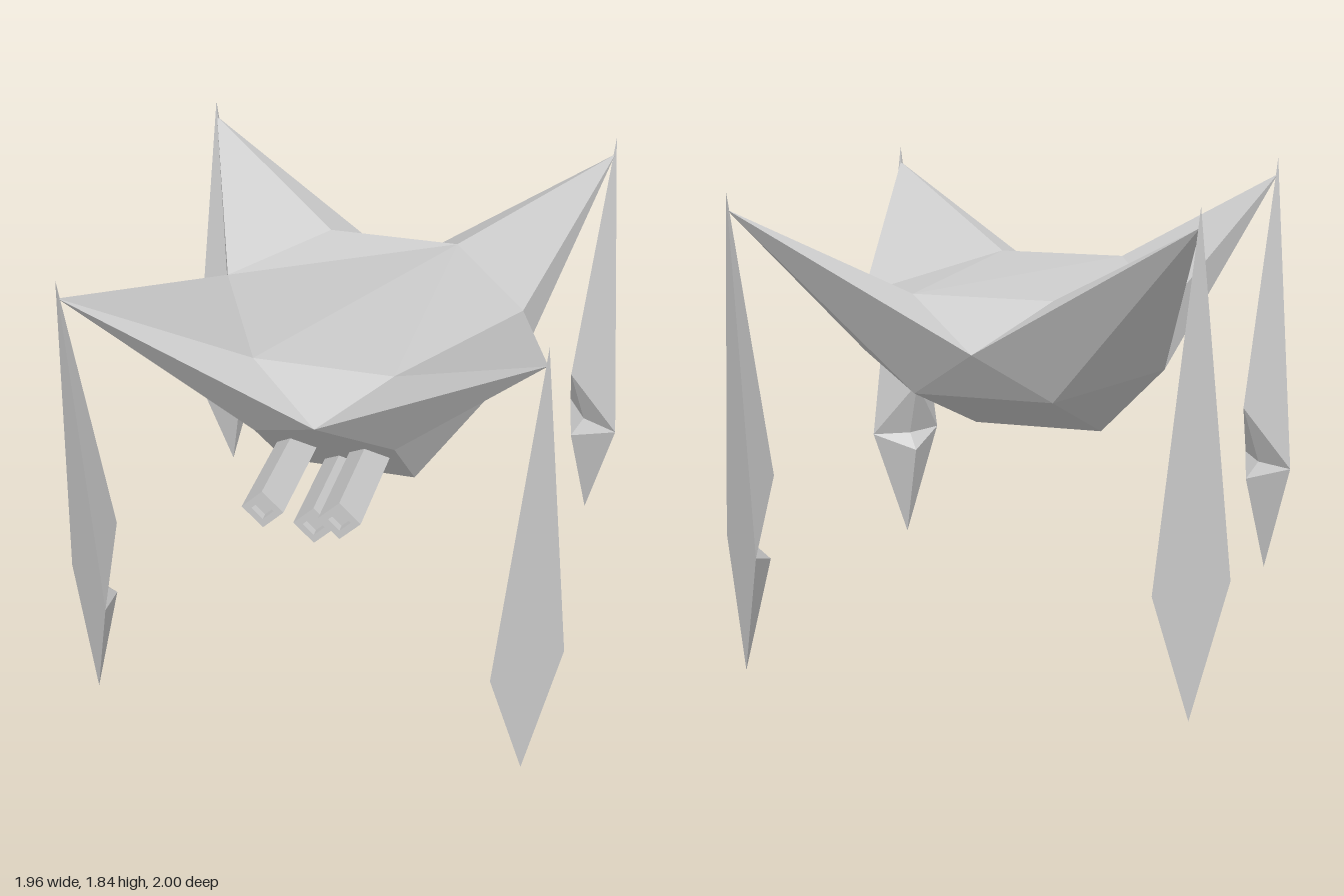
import * as THREE from 'three';

const material = new THREE.MeshStandardMaterial({ color: 0xcccccc, flatShading: true });

// Faceted solid from named points and triangles, every face turned away from an inner point
function facetedMesh(name, points, triangles, inner) {
  const centre = new THREE.Vector3(...inner);
  const positions = [];
  for (const tri of triangles) {
    let [a, b, c] = tri.map((key) => new THREE.Vector3(...points[key]));
    const normal = b.clone().sub(a).cross(c.clone().sub(a));
    if (normal.dot(a.clone().sub(centre)) < 0) [b, c] = [c, b];
    for (const v of [a, b, c]) positions.push(v.x, v.y, v.z);
  }
  const geometry = new THREE.BufferGeometry();
  geometry.setAttribute('position', new THREE.Float32BufferAttribute(positions, 3));
  geometry.computeVertexNormals();
  const mesh = new THREE.Mesh(geometry, material);
  mesh.name = name;
  return mesh;
}

// Corners where the blades hang: x, z
const corners = { frontP: [0.858, 0.88], frontN: [-0.865, 0.847], backP: [0.855, -0.887], backN: [-0.857, -0.865] };

function createHull() {
  const points = { noseF: [0, 1.245, 0.657], noseB: [0, 1.245, -0.7] };
  const tris = [];
  for (const [key, [x, z]] of Object.entries(corners)) points[key] = [x, 1.765, z];

  for (const [s, k] of [[1, 'P'], [-1, 'N']]) {
    points['deckF' + k] = [s * 0.265, 1.435, 0.53];
    points['deckB' + k] = [s * 0.27, 1.435, -0.57];
    points['sideTop' + k] = [s * 0.61, 1.36, -0.21];
    points['sideLow' + k] = [s * 0.61, 1.125, -0.21];
    points['lowF' + k] = [s * 0.27, 1.12, 0.53];
    points['lowB' + k] = [s * 0.27, 1.055, -0.57];
    points['keel' + k] = [s * 0.27, 0.76, 0.17];

    // Horns reaching to the front and back corners
    for (const [end, nose, e] of [['front', 'noseF', 'F'], ['back', 'noseB', 'B']]) {
      const tip = end + k;
      const ring = [nose, 'deck' + e + k, 'sideTop' + k, 'sideLow' + k, 'low' + e + k];
      ring.forEach((p, i) => tris.push([tip, p, ring[(i + 1) % ring.length]]));
    }
    // Lower flanks
    tris.push(['lowF' + k, 'sideLow' + k, 'keel' + k], ['lowB' + k, 'sideLow' + k, 'keel' + k]);
  }

  // Deck
  tris.push(['deckBN', 'deckBP', 'sideTopN'], ['sideTopN', 'deckBP', 'deckFN']);
  tris.push(['deckFN', 'deckBP', 'deckFP'], ['deckFP', 'deckBP', 'sideTopP']);
  // Nose facets and the sloping panels under them
  for (const e of ['F', 'B']) {
    tris.push(['deck' + e + 'N', 'deck' + e + 'P', 'nose' + e]);
    tris.push(['low' + e + 'N', 'low' + e + 'P', 'nose' + e]);
    tris.push(['low' + e + 'N', 'low' + e + 'P', 'keelP'], ['low' + e + 'N', 'keelP', 'keelN']);
  }
  // The inner point sits low, below the planes of the sloping horn tops
  return facetedMesh('hull', points, tris, [0, 0.95, 0]);
}

// Hanging blade: flat kite outside, notched ridge inside (inside is -z)
function createBlade(name) {
  const points = {
    top: [0, 1.835, 0], bottom: [0, 0, 0],
    left: [-0.165, 0.5, 0], right: [0.165, 0.5, 0],
    ridge: [0, 0.755, -0.14], notch: [0, 0.5, -0.05], spur: [0, 0.43, -0.115],
  };
  const tris = [['top', 'left', 'right'], ['bottom', 'left', 'right']];
  const inside = ['top', 'ridge', 'notch', 'spur', 'bottom'];
  for (const side of ['left', 'right']) {
    for (let i = 0; i < 4; i++) tris.push([inside[i], inside[i + 1], side]);
  }
  return facetedMesh(name, points, tris, [0, 0.5, -0.02]);
}

// Square barrel set on edge with a recessed muzzle, pointing to +z
function createBarrel(x, y, zBack, zFront) {
  const length = zFront - zBack;
  const profile = [[0, 0], [0.079, 0], [0.079, length], [0.042, length], [0.042, length - 0.03], [0, length - 0.03]];
  const geometry = new THREE.LatheGeometry(profile.map(([r, h]) => new THREE.Vector2(r, h)), 4);
  geometry.rotateX(Math.PI / 2);
  const barrel = new THREE.Mesh(geometry, material);
  barrel.name = 'barrel';
  barrel.position.set(x, y, zBack);
  return barrel;
}

export function createModel() {
  const model = new THREE.Group();
  model.name = 'walker';
  model.add(createHull());

  const names = { frontP: 'frontLeftLeg', frontN: 'frontRightLeg', backP: 'backLeftLeg', backN: 'backRightLeg' };
  for (const [key, [x, z]] of Object.entries(corners)) {
    const leg = createBlade(names[key]);
    leg.position.set(x, 0, z);
    leg.rotation.y = Math.atan2(Math.sign(x), Math.sign(z));
    model.add(leg);
  }

  const barrels = new THREE.Group();
  barrels.name = 'barrels';
  for (const x of [-0.143, 0.145]) barrels.add(createBarrel(x, 1.0, 0.2, 0.852));
  barrels.add(createBarrel(0.005, 0.85, 0.18, 0.703));
  model.add(barrels);
  return model;
}
